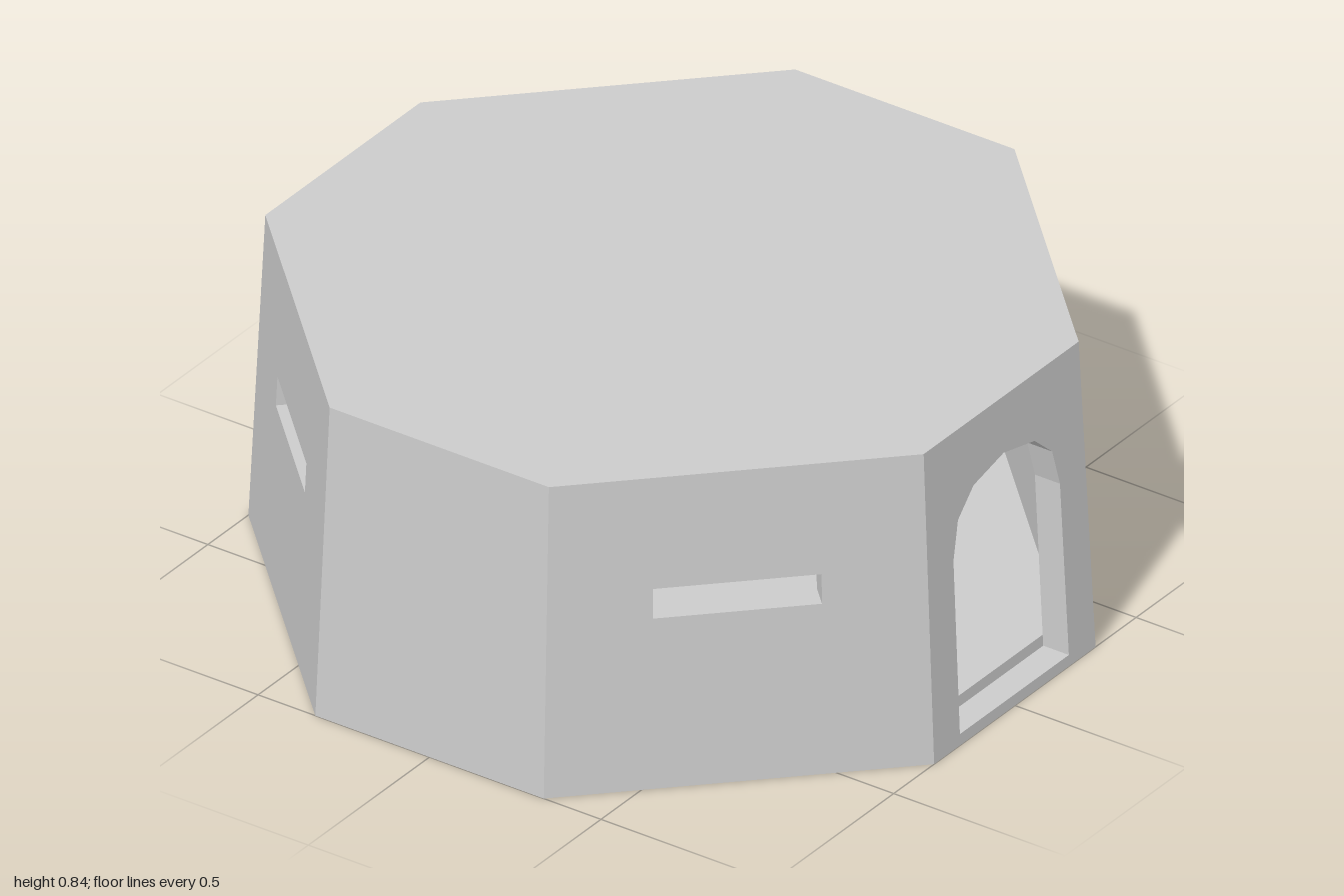
import * as THREE from 'three';
import { ConvexGeometry } from 'three/addons/geometries/ConvexGeometry.js';

const HEIGHT = 0.84, WALL = 0.075, CORNER = 0.333;
const MITRE = WALL * Math.tan(Math.PI / 8);
const taper = y => 1 - 0.04 * y / HEIGHT; // walls lean inward

const material = new THREE.MeshStandardMaterial({ color: 0xcccccc, flatShading: true });

const path = pts => new THREE.Path(pts.map(p => new THREE.Vector2(...p)));

const arch = [[-0.225, 0.03], [0.225, 0.03], [0.225, 0.5], [0.2, 0.6], [0.13, 0.662],
  [0, 0.69], [-0.13, 0.662], [-0.2, 0.6], [-0.225, 0.5]];
const slit = [[-0.209, 0.46], [0.209, 0.46], [0.209, 0.54], [-0.209, 0.54]];

// Wall panel with optional opening, tapered upward and mitred at both ends
function wallPanel(apothem, half, opening) {
  const shape = new THREE.Shape([[-half, 0], [half, 0], [half, HEIGHT], [-half, HEIGHT]]
    .map(p => new THREE.Vector2(...p)));
  if (opening) shape.holes.push(path(opening));
  const geo = new THREE.ExtrudeGeometry(shape, { depth: 1, bevelEnabled: false });
  const pos = geo.attributes.position;
  for (let i = 0; i < pos.count; i++) {
    const y = pos.getY(i), inset = 1 - pos.getZ(i), k = taper(y);
    let u = pos.getX(i);
    if (Math.abs(u) > half - 0.001) u -= Math.sign(u) * MITRE * inset;
    pos.setXYZ(i, u * k, y, (apothem - WALL * inset) * k);
  }
  geo.computeVertexNormals();
  return geo;
}

// Octagonal slab filling the space between the walls
function slab(y0, y1) {
  const a = 1 - WALL, b = CORNER - MITRE, pts = [];
  for (const y of [y0, y1])
    for (const sx of [-1, 1])
      for (const sz of [-1, 1])
        for (const [x, z] of [[a, b], [b, a]])
          pts.push(new THREE.Vector3(sx * x * taper(y), y, sz * z * taper(y)));
  return new ConvexGeometry(pts);
}

export function createModel() {
  const group = new THREE.Group();
  const add = (name, geo, turn = 0) => {
    const mesh = new THREE.Mesh(geo, material);
    mesh.name = name;
    mesh.rotation.y = turn;
    group.add(mesh);
  };

  // Walls: plain front and back, arched doorways at the sides, slits on the diagonals
  const plain = wallPanel(1, CORNER);
  const door = wallPanel(1, CORNER, arch);
  const diagonal = wallPanel((1 + CORNER) / Math.SQRT2, (1 - CORNER) / Math.SQRT2, slit);
  for (let i = 0; i < 8; i++) {
    const turn = i * Math.PI / 4;
    if (i % 2) add('slitWall', diagonal, turn);
    else if (i % 4) add('doorWall', door, turn);
    else add('plainWall', plain, turn);
  }

  // Floor and flat roof
  add('floor', slab(0, 0.06));
  add('roof', slab(HEIGHT - 0.06, HEIGHT));
  return group;
}
